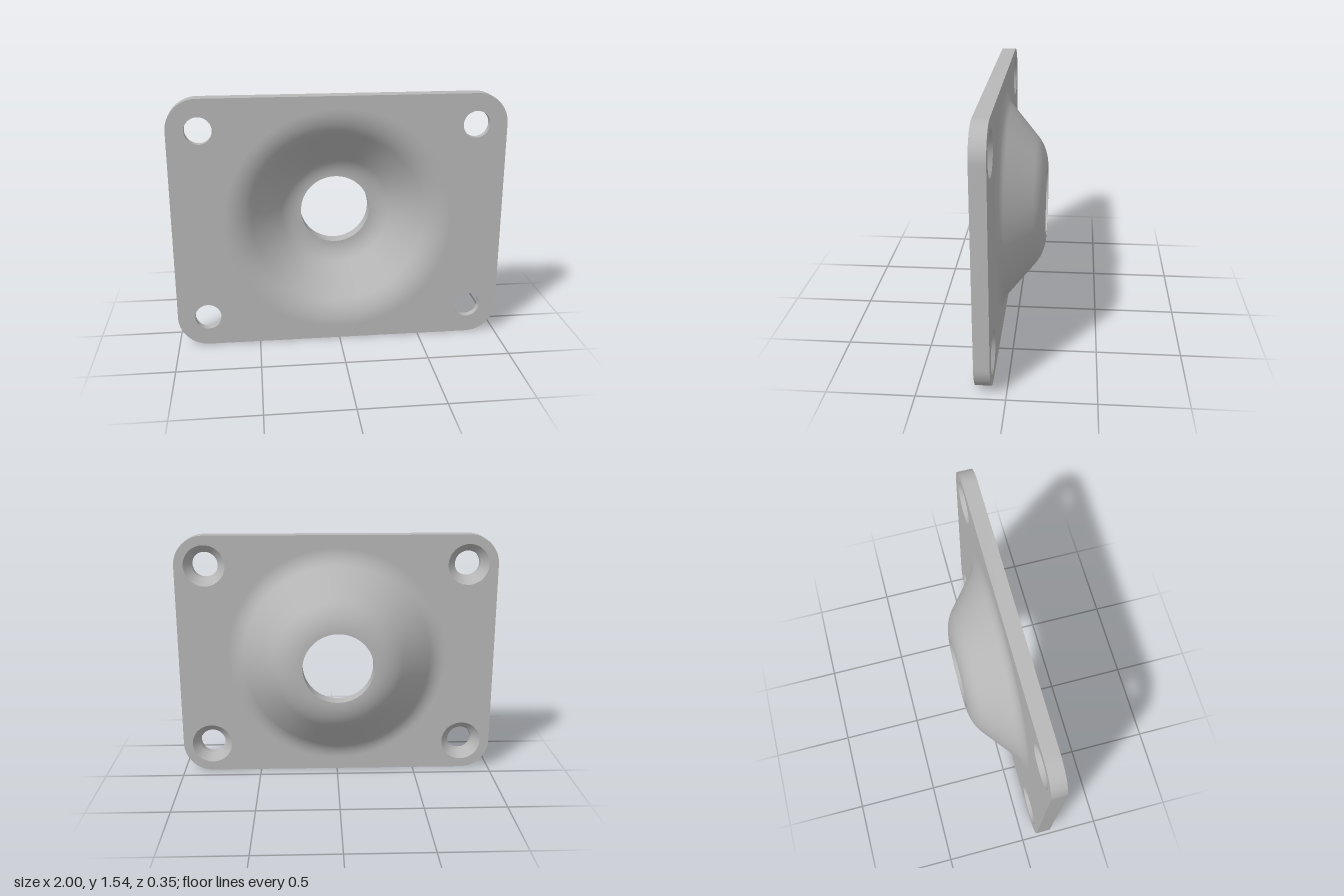
import * as THREE from 'three';
import { toCreasedNormals } from 'three/addons/utils/BufferGeometryUtils.js';

const W = 1, H = 1.54, CORNER = 0.185;      // half width, height, corner radius
const FRONT = 0.175, BACK = 0.085;          // plate faces in z
const T = FRONT - BACK;                     // sheet thickness
const CY = H / 2, SEG = 64;
const DISH_R = 0.69, BORE_R = 0.217;
const HOLE_R = 0.08, SINK_R = 0.127;
const SLOPE = THREE.MathUtils.degToRad(40);

const holeCentres = [];
for (const x of [-0.815, 0.815]) for (const y of [0.185, H - 0.185]) holeCentres.push([x, y]);

// Rounded rectangle, optionally pierced by the dish and screw holes
function plateShape(screwRadius) {
  const s = new THREE.Shape();
  const c = CORNER;
  s.absarc(W - c, c, c, -Math.PI / 2, 0);
  s.absarc(W - c, H - c, c, 0, Math.PI / 2);
  s.absarc(-W + c, H - c, c, Math.PI / 2, Math.PI);
  s.absarc(-W + c, c, c, Math.PI, Math.PI * 1.5);
  s.closePath();
  if (screwRadius) {
    const pierce = (x, y, r) => s.holes.push(new THREE.Path().absarc(x, y, r, 0, Math.PI * 2, true));
    pierce(0, CY, DISH_R);
    for (const [x, y] of holeCentres) pierce(x, y, screwRadius);
  }
  return s;
}

// Outer edge of the plate: only the side walls of an extrusion
function rimGeometry() {
  const g = new THREE.ExtrudeGeometry(plateShape(0), { depth: T, bevelEnabled: false, curveSegments: 12 });
  const { start, count } = g.groups[1];
  const rim = new THREE.BufferGeometry();
  const pos = g.attributes.position.array.slice(start * 3, (start + count) * 3);
  rim.setAttribute('position', new THREE.BufferAttribute(pos, 3));
  return toCreasedNormals(rim, 0.6).translate(0, 0, BACK);
}

// Revolve [radius, z] points around the z axis
function revolve(points) {
  return new THREE.LatheGeometry(points.map(([r, z]) => new THREE.Vector2(r, z)), SEG).rotateX(Math.PI / 2);
}

// Dish section from the outer fillet inwards to the bore; offset moves it towards the front
function dishProfile(offset) {
  const pts = [], steps = 12;
  const fillet = 0.16 + offset, bend = 0.28 - offset;
  for (let i = 0; i <= steps; i++) {
    const a = SLOPE * i / steps;
    pts.push([DISH_R - fillet * Math.sin(a), BACK - 0.16 + fillet * Math.cos(a)]);
  }
  for (let i = steps; i >= 0; i--) {
    const a = SLOPE * i / steps;
    pts.push([0.22 + bend * Math.sin(a), 0.105 - bend * Math.cos(a)]);
  }
  pts.push([BORE_R, -FRONT + offset]);
  return pts;
}

export function createModel() {
  const model = new THREE.Group();
  const steel = new THREE.MeshStandardMaterial({ color: 0xb8b8b8 });
  steel.name = 'plain grey';

  const add = (name, geometry, x = 0, y = 0, z = 0) => {
    const m = new THREE.Mesh(geometry, steel);
    m.name = name;
    m.position.set(x, y, z);
    model.add(m);
    return m;
  };

  // Flat flange
  add('plateFront', new THREE.ShapeGeometry(plateShape(HOLE_R), SEG / 2), 0, 0, FRONT);
  const back = add('plateBack', new THREE.ShapeGeometry(plateShape(SINK_R), SEG / 2), 0, 0, BACK);
  back.rotation.y = Math.PI;
  add('plateRim', rimGeometry());

  // Pressed dish with its central bore
  add('dishFront', revolve(dishProfile(T)), 0, CY);
  add('dishBack', revolve(dishProfile(0).reverse()), 0, CY);
  add('dishBore', revolve([[BORE_R, -FRONT + T], [BORE_R, -FRONT]]), 0, CY);

  // Screw holes, countersunk from the back
  const seat = BACK + SINK_R - HOLE_R;
  for (const [x, y] of holeCentres) {
    add('screwHole', revolve([[HOLE_R, FRONT], [HOLE_R, seat]]), x, y);
    add('countersink', revolve([[HOLE_R, seat], [SINK_R, BACK]]), x, y);
  }
  return model;
}
